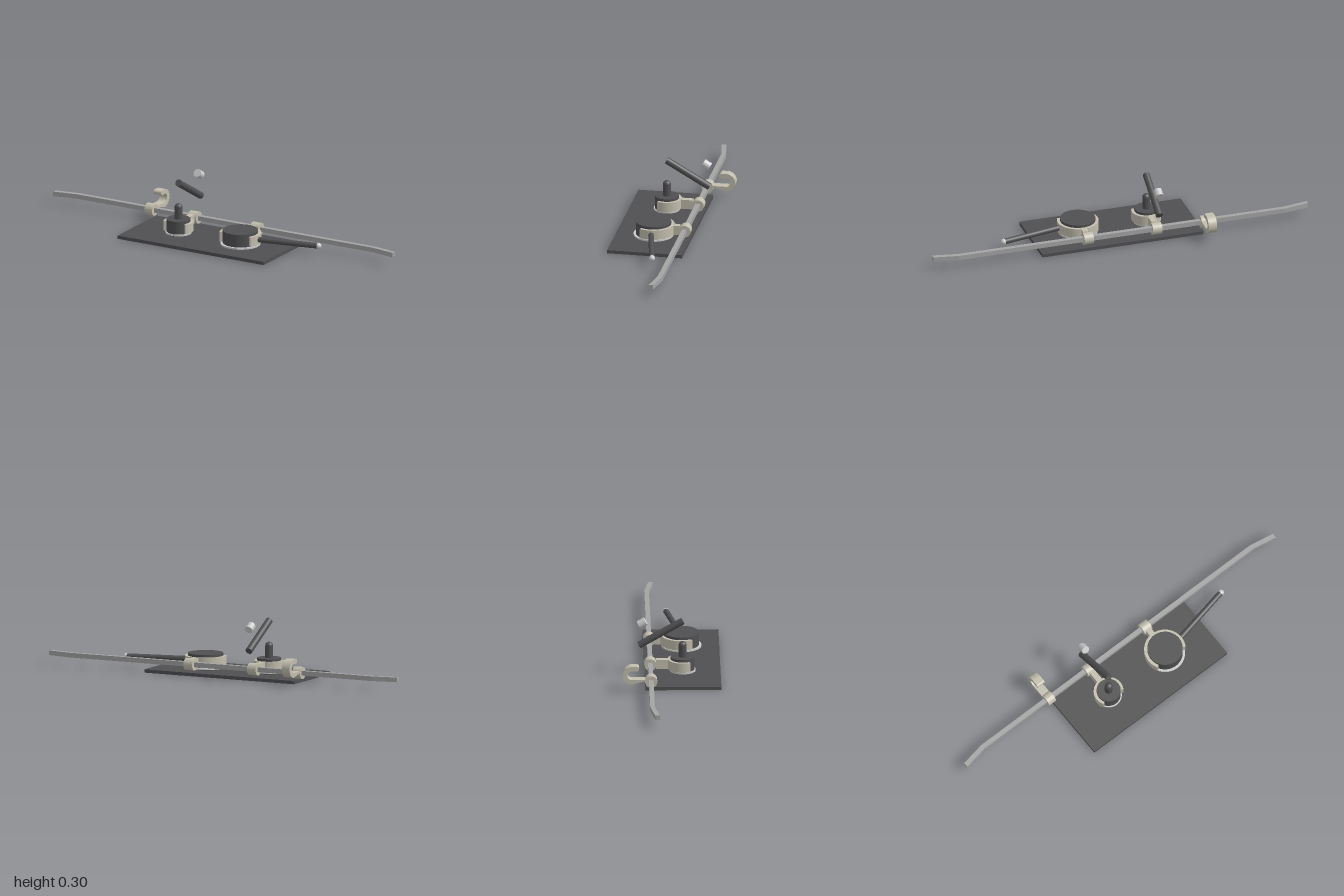
import * as THREE from 'three';

const mat = (color) => new THREE.MeshStandardMaterial({ color });
const DARK = mat(0x505052), STEEL = mat(0xa4a4a4), PALE = mat(0xbdbdbd), BEIGE = mat(0xc2beae);
const RAIL_Y = 0.057, RAIL_Z = -0.106, PLATE_TOP = 0.017;

export function createModel() {
  const model = new THREE.Group();

  const add = (name, geometry, material, x = 0, y = 0, z = 0, parent = model) => {
    const mesh = new THREE.Mesh(geometry, material);
    mesh.name = name;
    mesh.position.set(x, y, z);
    parent.add(mesh);
    return mesh;
  };
  // Cylinder between two points
  const rod = (name, a, b, radius, material) => {
    const dir = b.clone().sub(a);
    const mid = a.clone().add(b).multiplyScalar(0.5);
    const mesh = add(name, new THREE.CylinderGeometry(radius, radius, dir.length(), 32), material, mid.x, mid.y, mid.z);
    mesh.quaternion.setFromUnitVectors(new THREE.Vector3(0, 1, 0), dir.normalize());
    return mesh;
  };
  const extrude = (shape, depth) =>
    new THREE.ExtrudeGeometry(shape, { depth, bevelEnabled: false, curveSegments: 32 });
  // Disc round the rail, axis along x
  const railDisc = (name, x, width) =>
    add(name, new THREE.CylinderGeometry(0.031, 0.031, width, 40).rotateZ(Math.PI / 2), BEIGE, x, RAIL_Y, RAIL_Z);

  // Base plate
  add('basePlate', new THREE.BoxGeometry(0.86, PLATE_TOP, 0.386), DARK, 0, PLATE_TOP / 2, 0.058);

  // Rail with both ends bent forward
  const h = 0.012;
  const path = [[-1, -0.083], [-0.87, RAIL_Z], [0.87, RAIL_Z], [1, -0.083]];
  const outline = [
    ...path.map(([x, z]) => new THREE.Vector2(x, z - h)),
    ...path.slice().reverse().map(([x, z]) => new THREE.Vector2(x, z + h)),
  ];
  add('rail', extrude(new THREE.Shape(outline), 0.024).rotateX(Math.PI / 2), STEEL, 0, RAIL_Y + 0.012, 0);

  // Drum on a flange, held by an open collar that is clipped to the rail
  const drum = (name, x, radius, collarRadius, flangeRadius) => {
    const z = 0.058;
    const height = 0.095 - PLATE_TOP;
    add(name + 'Drum', new THREE.CylinderGeometry(radius, radius, height, 64), DARK, x, PLATE_TOP + height / 2, z);
    add(name + 'Flange', new THREE.CylinderGeometry(flangeRadius, flangeRadius, 0.008, 64), PALE, x, 0.024, z);

    const gap = 0.54;
    const ring = new THREE.Shape();
    ring.absarc(0, 0, collarRadius, gap, Math.PI - gap, true);
    ring.absarc(0, 0, radius, Math.PI - gap, gap, false);
    ring.closePath();
    add(name + 'Collar', extrude(ring, 0.05).rotateX(Math.PI / 2), BEIGE, x, 0.082, z);

    const back = z - (radius + collarRadius) / 2;
    const front = -0.078;
    add(name + 'Neck', new THREE.BoxGeometry(0.03, 0.049, back - front), BEIGE, x, RAIL_Y, (back + front) / 2);
    railDisc(name + 'Clip', x, 0.05);
  };
  drum('large', 0.18, 0.09, 0.106, 0.102);
  drum('small', -0.185, 0.061, 0.076, 0.067);

  // Domed post on the small drum
  add('post', new THREE.CylinderGeometry(0.02, 0.02, 0.065, 32), DARK, -0.185, 0.1245, 0.058);
  add('postDome', new THREE.SphereGeometry(0.02, 32, 16), DARK, -0.185, 0.156, 0.058);

  // Side lever with a ball end
  rod('lever', new THREE.Vector3(0.27, RAIL_Y, 0.054), new THREE.Vector3(0.598, RAIL_Y, -0.013), 0.0145, DARK);
  add('leverBall', new THREE.SphereGeometry(0.0155, 32, 16), PALE, 0.598, RAIL_Y, -0.013);

  // Loose slanted grip and its cap
  rod('grip', new THREE.Vector3(-0.185, 0.285, 0.059), new THREE.Vector3(-0.185, 0.157, -0.163), 0.018, DARK);
  rod('gripCap', new THREE.Vector3(-0.185, 0.286, -0.13), new THREE.Vector3(-0.185, 0.266, -0.164), 0.021, PALE);

  // Hook curling back over itself behind the rail
  const t = 0.0118, bend = 0.035, cu = 0.204, cv = RAIL_Y + bend, tip = 0.179;
  const hook = new THREE.Shape();
  hook.moveTo(-RAIL_Z, RAIL_Y - t);
  hook.absarc(cu, cv, bend + t, -Math.PI / 2, Math.PI / 2, false);
  hook.absarc(tip, cv + bend, t, Math.PI / 2, Math.PI * 1.5, false);
  hook.absarc(cu, cv, bend - t, Math.PI / 2, -Math.PI / 2, true);
  hook.lineTo(-RAIL_Z, RAIL_Y + t);
  hook.closePath();
  add('hook', extrude(hook, 0.045).rotateY(Math.PI / 2), BEIGE, -0.465, 0, 0);
  railDisc('hookClip', -0.4425, 0.045);

  return model;
}
